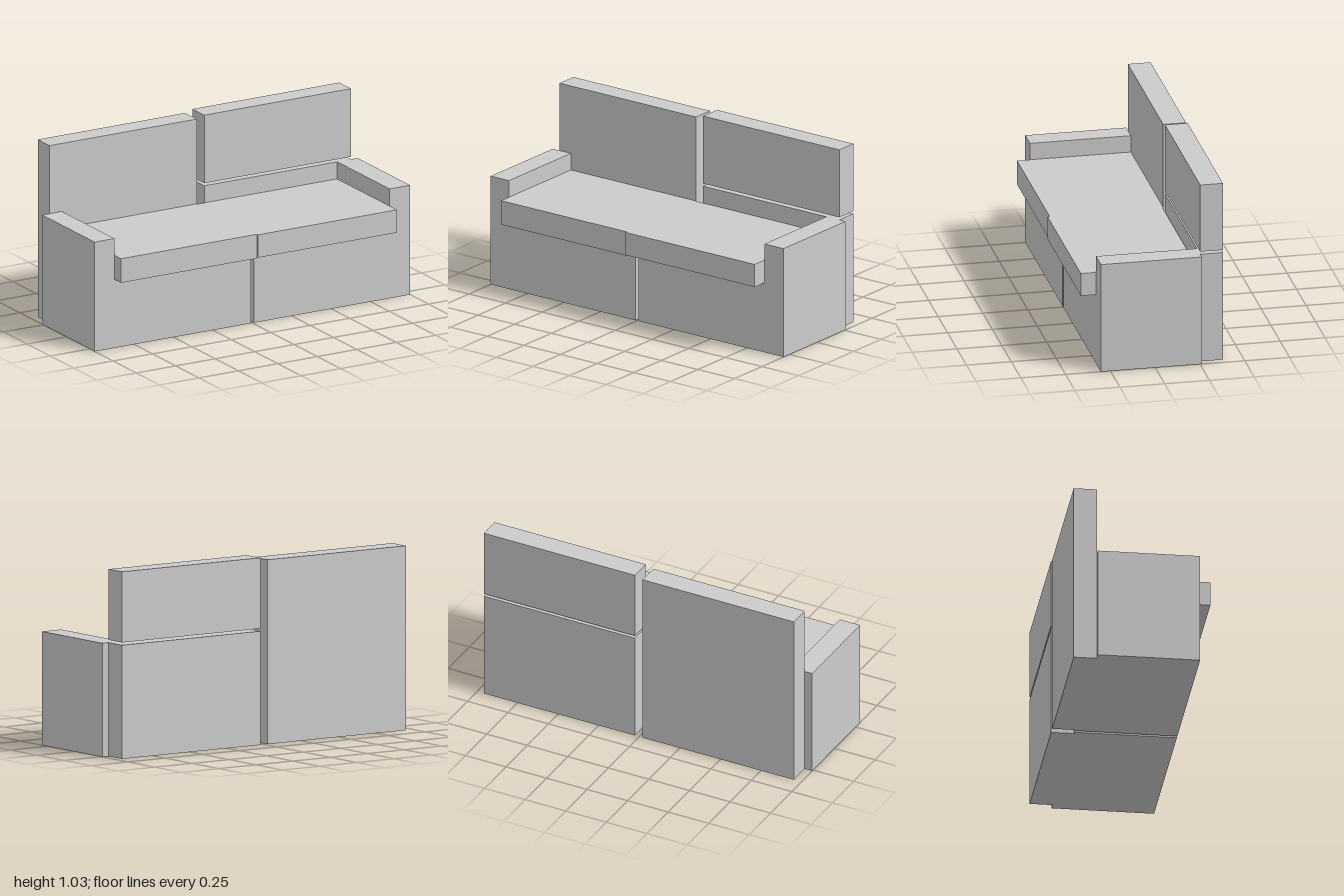
import * as THREE from 'three';

const material = new THREE.MeshStandardMaterial({ color: 0xcccccc, flatShading: true });

// Box given by its lower and upper limits on each axis
function block(name, [x0, x1], [y0, y1], [z0, z1]) {
  const mesh = new THREE.Mesh(new THREE.BoxGeometry(x1 - x0, y1 - y0, z1 - z0), material);
  mesh.position.set((x0 + x1) / 2, (y0 + y1) / 2, (z0 + z1) / 2);
  mesh.name = name;
  return mesh;
}

// Base half with its armrest: an L-shaped front outline extruded in depth
function baseWithArm(name, inner, armInner, outer, seatY, armY, [z0, z1]) {
  const outline = [[inner, 0], [outer, 0], [outer, armY], [armInner, armY], [armInner, seatY], [inner, seatY]];
  const shape = new THREE.Shape(outline.map(([x, y]) => new THREE.Vector2(x, y)));
  const geometry = new THREE.ExtrudeGeometry(shape, { depth: z1 - z0, bevelEnabled: false });
  geometry.translate(0, 0, z0);
  const mesh = new THREE.Mesh(geometry, material);
  mesh.name = name;
  return mesh;
}

export function createModel() {
  const sofa = new THREE.Group();
  sofa.name = 'sofa';
  const baseDepth = [-0.26, 0.303];
  const backDepth = [-0.387, -0.26];

  sofa.add(
    // Two base halves with a narrow gap between them
    baseWithArm('rightBase', -0.01, -0.875, -1, 0.393, 0.627, baseDepth),
    baseWithArm('leftBase', 0.01, 0.87, 1, 0.4, 0.627, baseDepth),
    // Seat cushions overhanging the front
    block('rightSeat', [-0.875, -0.015], [0.393, 0.531], [-0.26, 0.375]),
    block('leftSeat', [-0.015, 0.866], [0.4, 0.531], [-0.255, 0.387]),
    // Full-height back panel on one side, split panel on the other
    block('rightBack', [-0.953, -0.02], [0, 1.017], backDepth),
    block('leftLowerBack', [0.027, 0.958], [0, 0.627], backDepth),
    block('leftUpperBack', [0.027, 0.958], [0.642, 1.032], backDepth),
  );
  return sofa;
}
